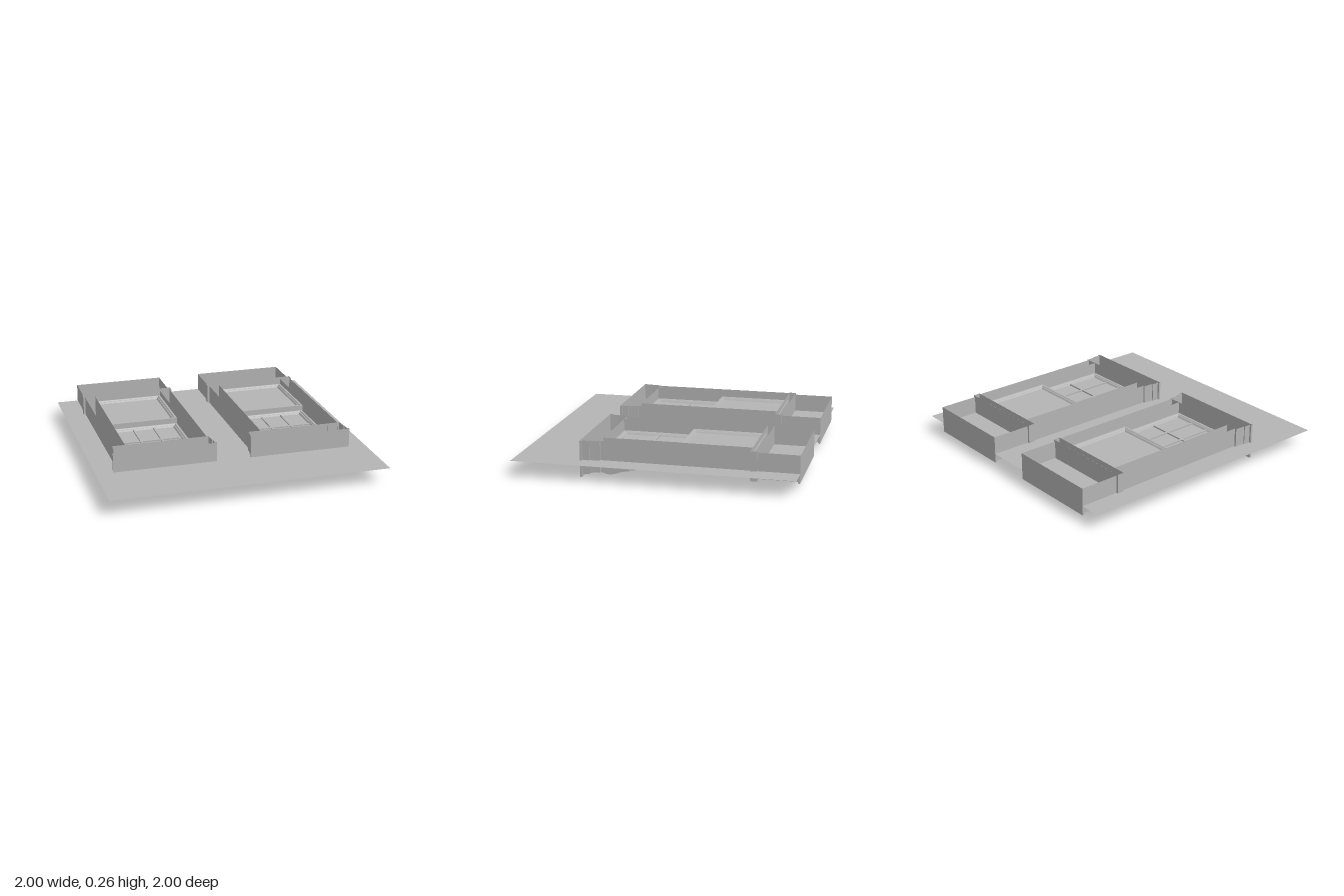
import * as THREE from 'three';
import { toCreasedNormals } from 'three/addons/utils/BufferGeometryUtils.js';

const grey = new THREE.MeshStandardMaterial({ color: 0xb4b4b4, side: THREE.DoubleSide });
grey.name = 'plainGrey';

// Skin a list of equal-length cross-sections; optional caps on the first and last
function skin(rows, closed, capStart, capEnd) {
  const pos = [];
  const tri = (a, b, c) => {
    const t = new THREE.Triangle(...[a, b, c].map((p) => new THREE.Vector3(...p)));
    if (t.getArea() > 1e-8) pos.push(...a, ...b, ...c);
  };
  const n = rows[0].length;
  for (let j = 0; j < rows.length - 1; j++) {
    for (let i = 0; i < (closed ? n : n - 1); i++) {
      const k = (i + 1) % n;
      tri(rows[j][i], rows[j + 1][i], rows[j + 1][k]);
      tri(rows[j][i], rows[j + 1][k], rows[j][k]);
    }
  }
  const cap = (r) => { for (let i = 1; i < n - 1; i++) tri(r[0], r[i], r[i + 1]); };
  if (capStart) cap(rows[0]);
  if (capEnd) cap(rows[rows.length - 1]);
  const g = new THREE.BufferGeometry();
  g.setAttribute('position', new THREE.Float32BufferAttribute(pos, 3));
  return toCreasedNormals(g, 0.5);
}

// Open-topped trough along z; stations are [z, y, chamfer, widening]
function trough(x0, x1, top, stations, caps) {
  const rows = stations.map(([z, y, c = 0, g = 0]) => {
    const a = x0 - g, b = x1 + g;
    return [[a, top, z], [a, y + c, z], [a + c, y, z], [b - c, y, z], [b, y + c, z], [b, top, z]];
  });
  return skin(rows, false, caps, caps);
}

// Nested rectangles, steps are [inset, y]; the last one is filled
function rings(hw, z0, z1, steps) {
  const rows = steps.map(([d, y]) => [
    [-hw + d, y, z0 + d], [hw - d, y, z0 + d], [hw - d, y, z1 - d], [-hw + d, y, z1 - d]]);
  return skin(rows, true, false, true);
}

function add(group, name, geometry) {
  const m = new THREE.Mesh(geometry, grey);
  m.name = name;
  group.add(m);
  return m;
}

function sash(group, name, z0, z1, yb, yt) {
  const m = (yb + yt) / 2;
  add(group, name, rings(0.258, z0, z1, [
    [0.033, m], [0.026, yb + 0.008], [0.013, yb], [0, yb], [0, yt],
    [0.013, yt], [0.02, yt - 0.008], [0.026, yt - 0.008], [0.033, m]]));
}

const OUT = 0.337, IN = 0.258, TOP = 0.26;

function makeWindow() {
  const w = new THREE.Group();

  // Stepped head moulding
  add(w, 'headCornice', trough(-OUT, OUT, TOP, [
    [0.535, 0, 0, 0.038], [0.52, 0, 0, 0.038], [0.52, 0.02, 0, 0.025], [0.47, 0.02, 0, 0.025],
    [0.47, 0.028, 0, 0.018], [0.4, 0.032, 0, 0.014], [0.395, 0.032, 0, 0.014]], true));

  // Side casings: scrolled bracket above a shaft with stopped chamfers
  const profile = [
    [0.4, 0.04], [0.385, 0.032], [0.365, 0.025], [0.34, 0.021], [0.315, 0.022], [0.29, 0.028],
    [0.265, 0.037], [0.24, 0.045], [0.215, 0.049], [0.19, 0.051], [0.19, 0.058], [0.145, 0.062],
    [0.145, 0.07], [0.11, 0.07], [0.09, 0.07, 0.012], [-0.49, 0.07, 0.012], [-0.51, 0.07], [-0.66, 0.07]];
  for (const s of [-1, 1]) {
    const [a, b] = s < 0 ? [-OUT, -IN] : [IN, OUT];
    add(w, s < 0 ? 'rightCasing' : 'leftCasing', trough(a, b, TOP, profile, false));
  }

  // Sill and the recessed apron panel beyond it
  add(w, 'sill', trough(-OUT, OUT, TOP, [[-0.66, 0.05, 0, 0.014], [-0.71, 0.05, 0, 0.014]], true));
  add(w, 'apronPanel', rings(OUT, -1, -0.71, [
    [0, 0.25], [0, 0.065], [0.04, 0.065], [0.048, 0.085], [0.06, 0.085], [0.08, 0.07]]));
  add(w, 'apronLip', trough(-OUT, OUT, 0.065, [[-0.985, 0.058], [-0.993, 0.05], [-1, 0.05]], true));

  // Single-light sash and divided sash
  sash(w, 'plainSash', -0.668, -0.13, 0.18, 0.22);
  sash(w, 'dividedSash', -0.15, 0.393, 0.135, 0.175);
  for (const x of [-0.077, 0.077]) {
    add(w, 'verticalMuntin', new THREE.BoxGeometry(0.014, 0.02, 0.48)).position.set(x, 0.155, 0.122);
  }
  add(w, 'crossMuntin', new THREE.BoxGeometry(0.45, 0.02, 0.014)).position.set(0, 0.155, 0.12);
  return w;
}

export function createModel() {
  const model = new THREE.Group();

  // Flat wall sheet with two window openings
  const rect = (P, x0, x1, y0, y1) => new P([[x0, y0], [x1, y0], [x1, y1], [x0, y1]]
    .map((p) => new THREE.Vector2(...p)));
  const wall = rect(THREE.Shape, -1, 1, -1, 1);
  for (const c of [-0.5, 0.5]) wall.holes.push(rect(THREE.Path, c - OUT, c + OUT, -0.43, 0.7));
  const sheet = add(model, 'wall', new THREE.ShapeGeometry(wall).rotateX(-Math.PI / 2));
  sheet.position.y = 0.12;

  for (const s of [-1, 1]) {
    const w = makeWindow();
    w.name = s < 0 ? 'rightWindow' : 'leftWindow';
    w.position.x = s * 0.5;
    model.add(w);
  }
  return model;
}
